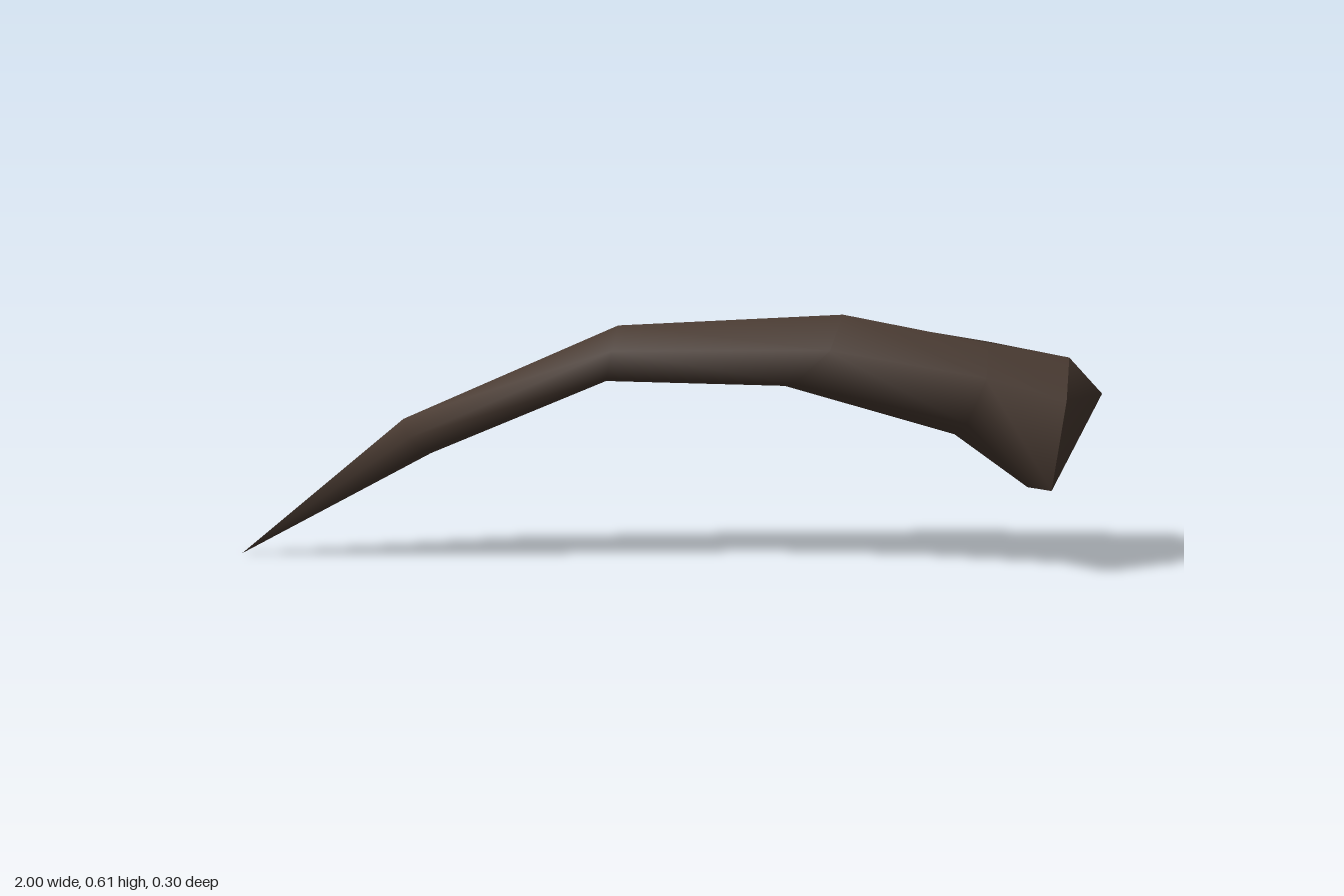
import * as THREE from 'three';

// Cross-sections from the point to the thick end, each running
// top, front, underside, back as [x, y, z].
const SECTIONS = [
  [[-0.6, 0.345, 0], [-0.58, 0.315, 0.065], [-0.55, 0.275, 0.03], [-0.54, 0.26, -0.02],
    [-0.545, 0.265, -0.06], [-0.565, 0.3, -0.105], [-0.595, 0.335, -0.075]],
  [[-0.1, 0.575, 0.04], [-0.11, 0.53, 0.12], [-0.125, 0.46, 0.08], [-0.13, 0.44, 0.01],
    [-0.13, 0.45, -0.04], [-0.12, 0.49, -0.075], [-0.105, 0.555, -0.05]],
  [[0.41, 0.605, 0.048], [0.38, 0.54, 0.15], [0.3, 0.455, 0.1], [0.28, 0.43, 0],
    [0.3, 0.45, -0.06], [0.34, 0.5, -0.095], [0.39, 0.582, -0.07]],
  [[0.74, 0.54, 0.04], [0.73, 0.48, 0.15], [0.69, 0.37, 0.12], [0.67, 0.32, 0],
    [0.69, 0.35, -0.1], [0.73, 0.42, -0.13], [0.75, 0.52, -0.09]],
  [[0.925, 0.505, 0.02], [0.91, 0.43, 0.145], [0.885, 0.215, 0.113], [0.84, 0.197, 0],
    [0.89, 0.255, -0.15], [0.945, 0.39, -0.125], [0.92, 0.48, -0.105]],
];
const TIP = [-1, 0, -0.077];
const BUTT = [1, 0.425, 0.035];
const SIDES = 7;

function smoothMesh(name, points, index, material) {
  const geometry = new THREE.BufferGeometry();
  geometry.setAttribute('position', new THREE.Float32BufferAttribute(points.flat(), 3));
  geometry.setIndex(index);
  geometry.computeVertexNormals();
  const mesh = new THREE.Mesh(geometry, material);
  mesh.name = name;
  return mesh;
}

export function createModel() {
  const group = new THREE.Group();
  group.name = 'curvedHorn';
  const brown = new THREE.MeshStandardMaterial({ color: 0x4a3b32 });
  brown.name = 'dark brown horn';

  // Curved shaft, closed to a point at its thin end
  const points = [TIP, ...SECTIONS.flat()];
  const shaft = [];
  for (let i = 0; i < SIDES; i++) {
    const j = (i + 1) % SIDES;
    shaft.push(0, 1 + j, 1 + i);
    for (let r = 0; r < SECTIONS.length - 1; r++) {
      const a = 1 + r * SIDES + i, b = 1 + r * SIDES + j;
      shaft.push(a, b, b + SIDES, a, b + SIDES, a + SIDES);
    }
  }
  group.add(smoothMesh('hornShaft', points, shaft, brown));

  // Blunt faceted cap at the thick end
  const cap = [];
  for (let i = 0; i < SIDES; i++) cap.push(i, (i + 1) % SIDES, SIDES);
  group.add(smoothMesh('hornBase', [...SECTIONS[SECTIONS.length - 1], BUTT], cap, brown));

  return group;
}
